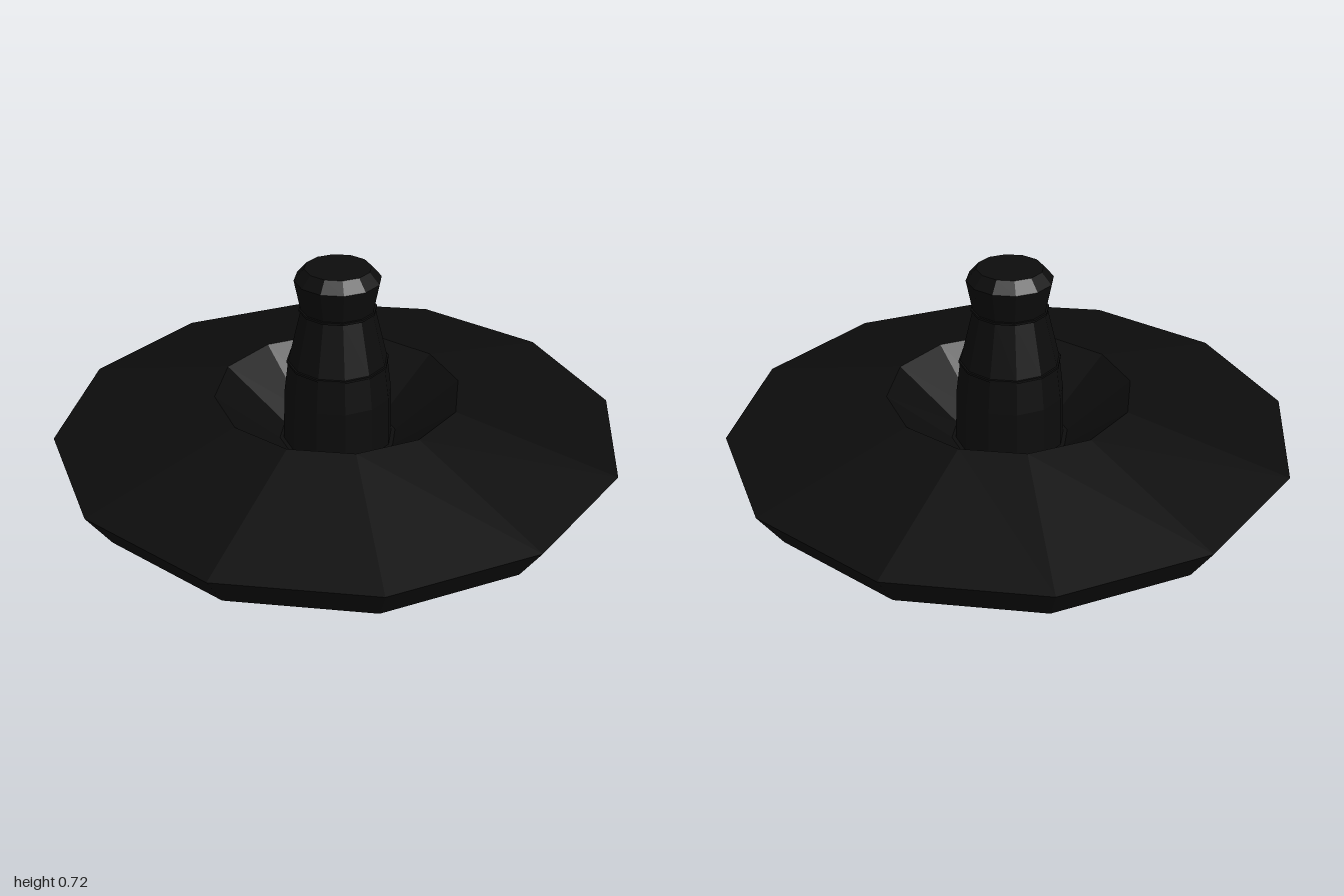
import * as THREE from 'three';

const SIDES = 12;

export function createModel() {
  const model = new THREE.Group();
  const black = new THREE.MeshStandardMaterial({ color: 0x0c0c0c, flatShading: true, side: THREE.DoubleSide });
  black.name = 'black';

  // Faceted part turned around the y axis from [radius, height] pairs
  const turned = (name, profile) => {
    const points = profile.map(([r, y]) => new THREE.Vector2(r, y));
    const mesh = new THREE.Mesh(new THREE.LatheGeometry(points, SIDES), black);
    mesh.name = name;
    model.add(mesh);
  };

  // Hollow base, open below: flared rim, sloping top and sunken bowl
  turned('baseShell', [[0.915, 0], [1, 0.13], [0.435, 0.255], [0.21, 0.07], [0, 0.07]]);

  // Tapered post standing in the bowl, with a flared knob on top
  turned('post', [[0.195, 0.07], [0.19, 0.255], [0.175, 0.375], [0.128, 0.57]]);
  turned('knob', [[0.128, 0.57], [0.15, 0.68], [0.115, 0.72], [0, 0.72]]);

  // Fine seam rings around the post
  const seam = (name, r, y) =>
    turned(name, [[r - 0.008, y - 0.006], [r + 0.005, y - 0.004], [r + 0.005, y + 0.004], [r - 0.008, y + 0.006]]);
  seam('lowerSeam', 0.175, 0.375);
  seam('upperSeam', 0.13, 0.57);

  return model;
}
